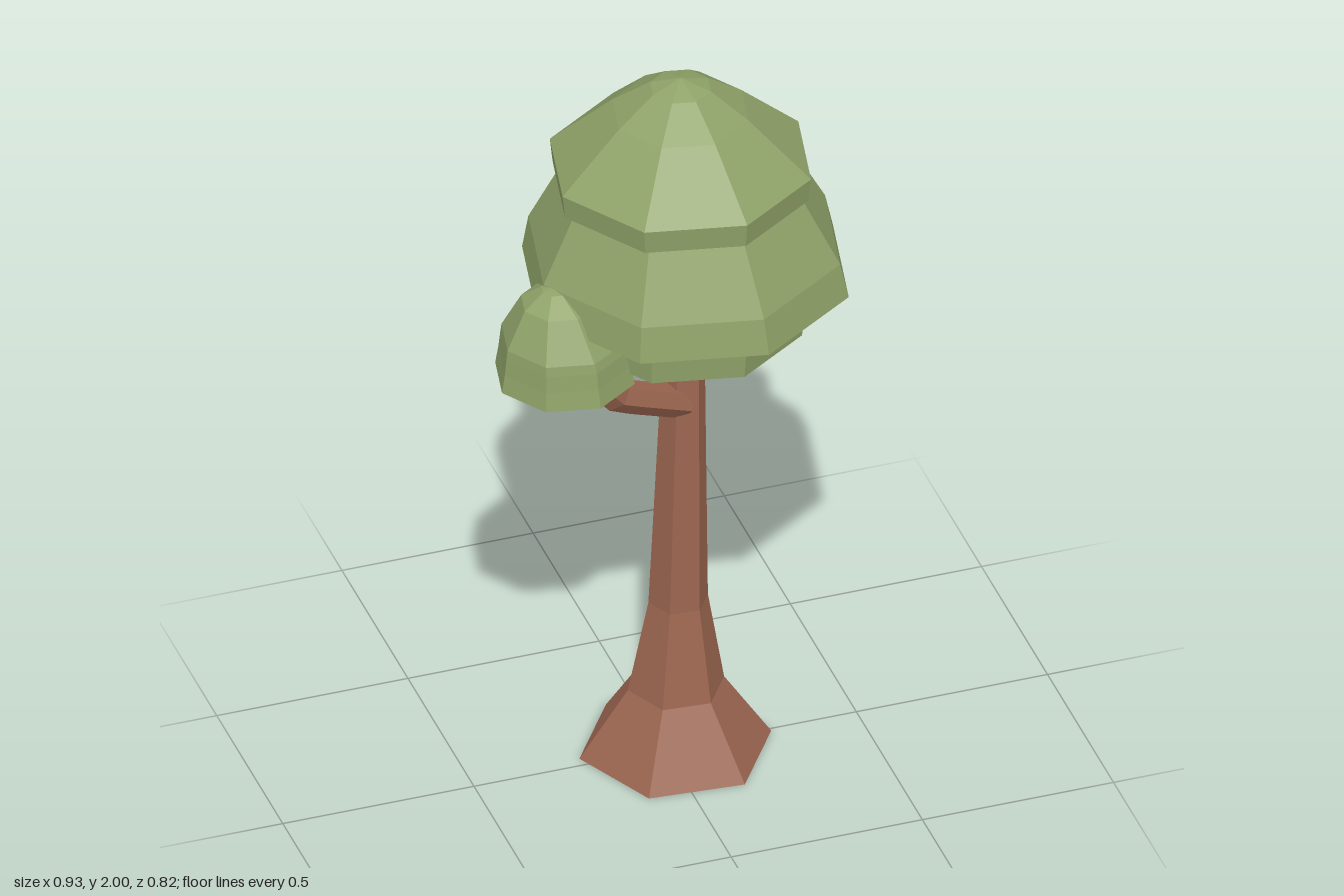
import * as THREE from 'three';

const bark = new THREE.MeshStandardMaterial({ color: 0x9c6650, flatShading: true });
const leaf = new THREE.MeshStandardMaterial({ color: 0x8fa268, flatShading: true });

// Closed faceted body through horizontal rings [y, radius, centreX, centreZ], listed bottom to top
function loft(name, rings, sides, turn, material) {
  const pos = [], index = [];
  for (const [y, r, cx, cz = 0] of rings) {
    for (let i = 0; i < sides; i++) {
      const a = turn + (i / sides) * Math.PI * 2;
      pos.push(cx + r * Math.cos(a), y, cz + r * Math.sin(a));
    }
  }
  for (let k = 0; k < rings.length - 1; k++) {
    for (let i = 0; i < sides; i++) {
      const j = (i + 1) % sides;
      const a = k * sides + i, b = k * sides + j, c = a + sides, d = b + sides;
      index.push(a, c, b, b, c, d);
    }
  }
  // End caps
  const last = (rings.length - 1) * sides;
  for (let i = 1; i < sides - 1; i++) {
    index.push(0, i, i + 1, last, last + i + 1, last + i);
  }
  const geo = new THREE.BufferGeometry();
  geo.setAttribute('position', new THREE.Float32BufferAttribute(pos, 3));
  geo.setIndex(index);
  geo.computeVertexNormals();
  const mesh = new THREE.Mesh(geo, material);
  mesh.name = name;
  return mesh;
}

export function createModel() {
  const tree = new THREE.Group();
  tree.name = 'tree';
  const leafTurn = THREE.MathUtils.degToRad(-10.5);

  // Six-sided trunk with a flared root
  tree.add(loft('trunk', [
    [0, 0.245, 0.03, -0.01], [0.185, 0.123, 0.031, -0.008], [0.44, 0.076, 0.036, -0.006],
    [1.05, 0.058, 0.045, 0.002], [1.3, 0.052, 0.048, 0.003],
  ], 6, THREE.MathUtils.degToRad(4.5), bark));

  // Bent side branch, from inside the trunk up into the small clump
  const path = new THREE.CurvePath();
  const knots = [[0.04, 1.045, 0.02], [-0.165, 1.16, 0.1], [-0.222, 1.235, 0.128], [-0.26, 1.32, 0.12]]
    .map((p) => new THREE.Vector3(...p));
  for (let i = 0; i < 3; i++) path.add(new THREE.LineCurve3(knots[i], knots[i + 1]));
  const branch = new THREE.Mesh(new THREE.TubeGeometry(path, 7, 0.042, 6, false), bark);
  branch.name = 'branch';
  tree.add(branch);

  // Main crown: three overlapping eight-sided tiers
  const crown = new THREE.Group();
  crown.name = 'crown';
  crown.add(
    loft('lowerTier', [
      [1.22, 0.08, 0.05], [1.283, 0.302, 0.05], [1.38, 0.31, 0.052], [1.43, 0.28, 0.052],
    ], 8, leafTurn, leaf),
    loft('middleTier', [
      [1.375, 0.3, 0.053], [1.418, 0.419, 0.053], [1.513, 0.4, 0.05], [1.69, 0.308, 0.045], [1.72, 0.25, 0.043],
    ], 8, leafTurn, leaf),
    loft('upperTier', [
      [1.68, 0.28, 0.04], [1.693, 0.328, 0.04], [1.758, 0.335, 0.04],
      [1.905, 0.175, 0.04], [1.975, 0.078, 0.04], [2, 0.004, 0.04],
    ], 8, leafTurn, leaf),
  );
  tree.add(crown);

  // Small clump at the end of the branch
  tree.add(loft('sideClump', [
    [1.222, 0.09, -0.29, 0.09], [1.25, 0.179, -0.293, 0.09], [1.3, 0.17, -0.294, 0.09],
    [1.345, 0.164, -0.295, 0.09], [1.37, 0.158, -0.298, 0.09], [1.47, 0.096, -0.31, 0.09],
    [1.508, 0.036, -0.318, 0.09], [1.515, 0.004, -0.32, 0.09],
  ], 8, leafTurn, leaf));

  return tree;
}
